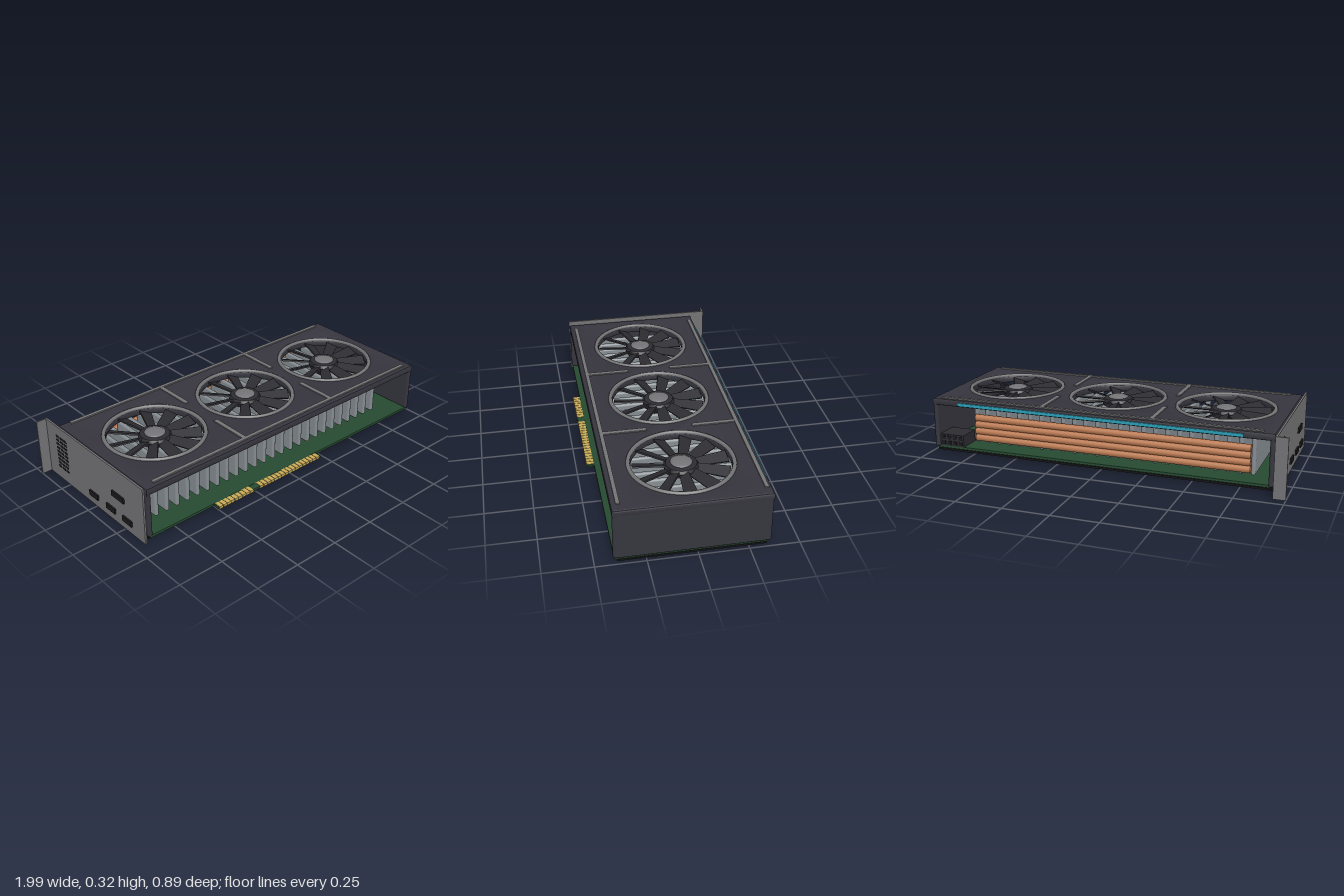
import * as THREE from 'three';
import { toCreasedNormals } from 'three/addons/utils/BufferGeometryUtils.js';
import { RoundedBoxGeometry } from 'three/addons/geometries/RoundedBoxGeometry.js';

const mat = (name, color) => {
  const m = new THREE.MeshStandardMaterial({ color });
  m.name = name;
  return m;
};

export function createModel() {
  const M = {
    shroud: mat('charcoal shroud', 0x36353e),
    black: mat('black', 0x1a1a1c),
    blade: mat('dark blade', 0x2c2c31),
    trim: mat('grey trim', 0x737375),
    fin: mat('aluminium fin', 0x858c91),
    copper: mat('copper', 0xb97850),
    board: mat('board green', 0x264a31),
    gold: mat('gold', 0xc9a956),
    glow: mat('cyan', 0x2a9fb5),
  };
  const card = new THREE.Group();
  card.name = 'graphicsCard';

  const add = (name, geo, material, x, y, z, parent = card) => {
    const mesh = new THREE.Mesh(geo, material);
    mesh.name = name;
    mesh.position.set(x, y, z);
    parent.add(mesh);
    return mesh;
  };
  // Box given by its minimum and maximum on each axis
  const span = (name, material, [x0, x1], [y0, y1], [z0, z1], parent = card) =>
    add(name, new THREE.BoxGeometry(x1 - x0, y1 - y0, z1 - z0), material,
      (x0 + x1) / 2, (y0 + y1) / 2, (z0 + z1) / 2, parent);
  const group = (name) => {
    const g = new THREE.Group();
    g.name = name;
    card.add(g);
    return g;
  };

  const fanX = [-0.58, 0.036, 0.655];
  const fanZ = 0.02;

  // Backplate with vent slots, and circuit board
  span('backplate', M.black, [-0.91, 0.98], [0.002, 0.011], [-0.34, 0.39]);
  const slots = group('backplateSlots');
  for (let i = 0; i < 7; i++) {
    const z = -0.1 + i * 0.05;
    span('slot', M.blade, [-0.06, 0.34], [0, 0.002], [z - 0.005, z + 0.005], slots);
  }
  span('circuitBoard', M.board, [-0.91, 0.98], [0.015, 0.029], [-0.34, 0.405]);

  // Edge connector with gold fingers on both faces, split by a key notch
  const edge = group('edgeConnector');
  span('connectorTongue', M.board, [-0.51, 0.215], [0.016, 0.028], [0.4, 0.443], edge);
  const fingerRuns = [[-0.505, 9], [-0.228, 17]];
  for (const [start, count] of fingerRuns) {
    for (let i = 0; i < count; i++) {
      const x = start + i * 0.0257;
      span('goldFinger', M.gold, [x, x + 0.0215], [0.0145, 0.0295], [0.406, 0.445], edge);
    }
  }

  // Shroud top with three fan openings
  const top = new THREE.Shape();
  top.moveTo(-0.92, -0.41).lineTo(0.99, -0.41).lineTo(0.99, 0.36).lineTo(-0.92, 0.36).closePath();
  for (const x of fanX) {
    top.holes.push(new THREE.Path().absarc(x, -fanZ, 0.25, 0, Math.PI * 2, true));
  }
  const bevel = 0.01;
  const topGeo = new THREE.ExtrudeGeometry(top, {
    depth: 0.04 - 2 * bevel, bevelEnabled: true, bevelThickness: bevel,
    bevelSize: bevel, bevelOffset: -bevel, bevelSegments: 2, curveSegments: 32,
  });
  topGeo.rotateX(-Math.PI / 2);
  add('shroudTop', toCreasedNormals(topGeo, 0.6), M.shroud, 0, 0.265 + bevel, 0);

  // Shroud end walls
  for (const x of [-0.907, 0.977]) {
    add('shroudEndWall', new RoundedBoxGeometry(0.026, 0.282, 0.77, 3, 0.012), M.shroud, x, 0.164, 0.025);
  }

  // Raised trim on the shroud
  const trim = group('shroudTrim');
  for (const z of [-0.335, 0.375]) {
    span('longTrim', M.trim, [-0.86, 0.94], [0.303, 0.312], [z - 0.01, z + 0.01], trim);
  }
  for (const x of [-0.275, 0.345]) {
    for (const zs of [[-0.33, -0.1], [0.14, 0.37]]) {
      span('crossTrim', M.trim, [x - 0.012, x + 0.012], [0.303, 0.311], zs, trim);
    }
  }
  span('lightStrip', M.glow, [-0.76, 0.83], [0.272, 0.29], [-0.366, -0.358]);

  // Fans: ring, tilted blades, hub, cap and motor
  const hubProfile = [[0, 0.262], [0.085, 0.262], [0.088, 0.285], [0.078, 0.3], [0.05, 0.305], [0, 0.305]]
    .map(([r, y]) => new THREE.Vector2(r, y));
  const hubGeo = toCreasedNormals(new THREE.LatheGeometry(hubProfile, 32), 0.6);
  const capGeo = new THREE.SphereGeometry(0.055, 24, 8, 0, Math.PI * 2, 0, Math.PI / 2).scale(1, 0.25, 1);
  const ringGeo = new THREE.TorusGeometry(0.262, 0.011, 8, 56).rotateX(Math.PI / 2);
  const bladeShape = new THREE.Shape();
  bladeShape.moveTo(0.07, -0.024).lineTo(0.243, -0.034).lineTo(0.243, 0.034).lineTo(0.07, 0.024).closePath();
  const bladeGeo = new THREE.ExtrudeGeometry(bladeShape, { depth: 0.008, bevelEnabled: false });
  bladeGeo.translate(0, 0, -0.004).rotateX(-Math.PI / 2 + 0.38);
  const bladeCount = 11;
  for (const x of fanX) {
    const fan = group('fan');
    fan.position.set(x, 0, fanZ);
    add('fanRing', ringGeo, M.trim, 0, 0.305, 0, fan);
    add('fanHub', hubGeo, M.blade, 0, 0, 0, fan);
    add('hubCap', capGeo, M.trim, 0, 0.303, 0, fan);
    add('fanMotor', new THREE.CylinderGeometry(0.04, 0.04, 0.075, 20), M.black, 0, 0.227, 0, fan);
    for (let i = 0; i < bladeCount; i++) {
      const blade = add('fanBlade', bladeGeo, M.blade, 0, 0.283, 0, fan);
      blade.rotation.y = (i / bladeCount) * Math.PI * 2;
    }
  }

  // Heatsink fins and copper heat pipes
  const sink = group('heatsink');
  const finGeo = new RoundedBoxGeometry(0.024, 0.205, 0.6, 2, 0.011);
  for (let i = 0; i < 25; i++) {
    add('heatsinkFin', finGeo, M.fin, -0.8 + i * 0.0653, 0.148, 0.02, sink);
  }
  const pipeGeo = new THREE.CylinderGeometry(0.019, 0.019, 1.55, 16).rotateZ(Math.PI / 2);
  for (let i = 0; i < 4; i++) {
    add('heatPipe', pipeGeo, M.copper, -0.015, 0.082 + i * 0.038, -0.291, sink);
  }

  // Power socket with two rows of pin holes
  const power = group('powerSocket');
  span('socketBody', M.blade, [0.82, 0.965], [0.028, 0.095], [-0.34, -0.21], power);
  for (let i = 0; i < 4; i++) {
    for (let j = 0; j < 2; j++) {
      const px = 0.84 + i * 0.035;
      const py = 0.046 + j * 0.031;
      span('pinHole', M.black, [px - 0.011, px + 0.011], [py - 0.01, py + 0.01], [-0.344, -0.339], power);
    }
  }

  // Mounting bracket with bent lip, ports and vent holes
  const bracket = group('bracket');
  span('bracketPlate', M.trim, [-0.945, -0.935], [0, 0.32], [-0.445, 0.413], bracket);
  span('bracketLip', M.trim, [-1, -0.935], [0, 0.32], [-0.445, -0.437], bracket);
  const ports = [[-0.015, 0.063, 0.075], [0.135, 0.063, 0.075], [0.275, 0.063, 0.075], [0.205, 0.17, 0.1]];
  for (const [z, y, w] of ports) {
    span('port', M.black, [-0.954, -0.944], [y - 0.015, y + 0.015], [z - w / 2, z + w / 2], bracket);
  }
  for (let i = 0; i < 9; i++) {
    for (let j = 0; j < 3; j++) {
      const y = 0.075 + i * 0.023;
      const z = -0.335 + j * 0.036;
      span('ventHole', M.black, [-0.947, -0.944], [y - 0.006, y + 0.006], [z - 0.013, z + 0.013], bracket);
    }
  }

  return card;
}
